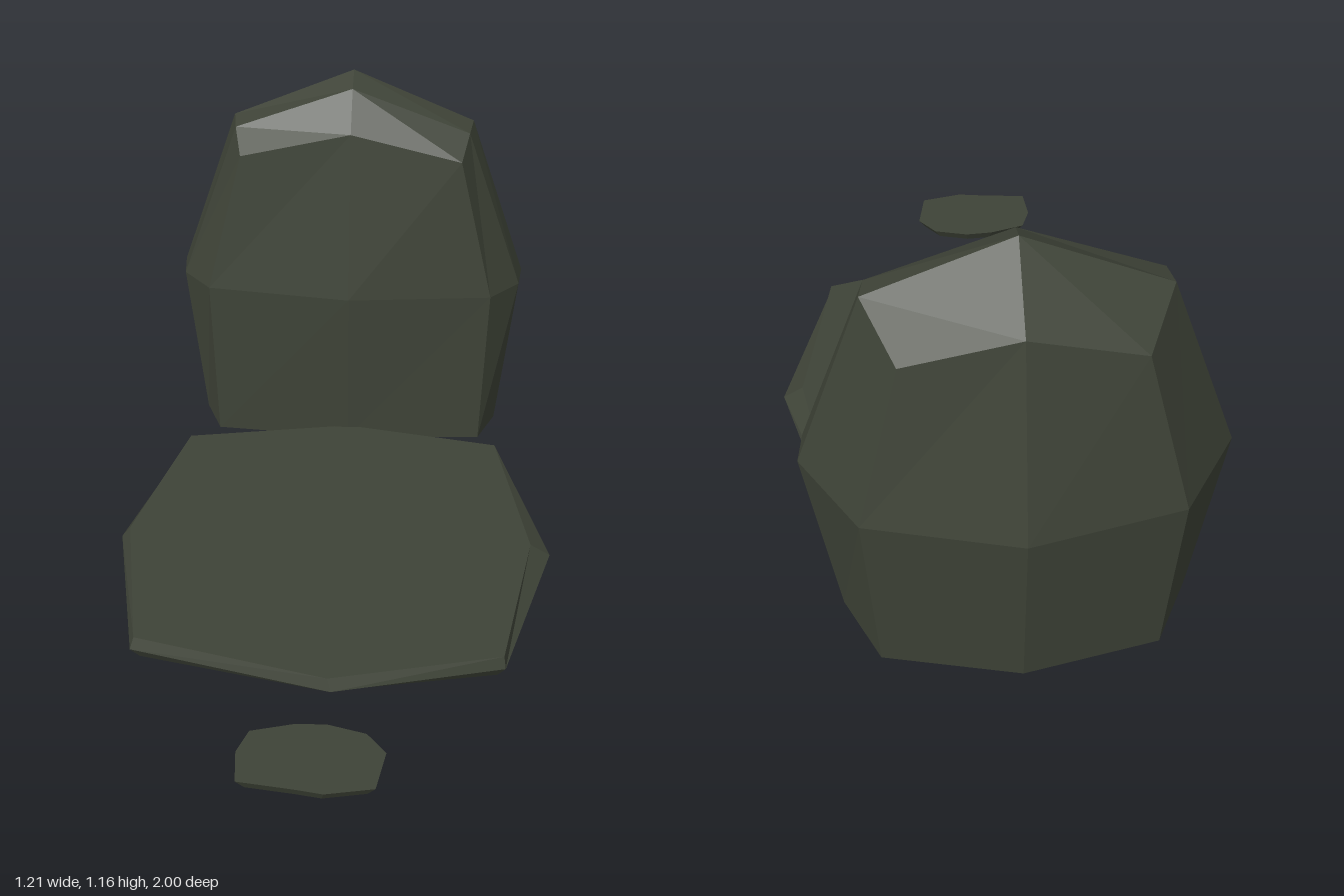
import * as THREE from 'three';

// Closed faceted solid from rings listed bottom to top (front, +x, back, -x order)
function loft(rings, bottomCentre, topCentre) {
  const pos = [];
  const tri = (a, b, c) => pos.push(...a, ...b, ...c);
  const n = rings[0].length;
  for (let j = 0; j < n; j++) {
    const k = (j + 1) % n;
    for (let i = 0; i < rings.length - 1; i++) {
      const lo = rings[i], hi = rings[i + 1];
      tri(lo[j], lo[k], hi[k]);
      if (hi[j] !== hi[k]) tri(lo[j], hi[k], hi[j]);
    }
    tri(bottomCentre, rings[0][k], rings[0][j]);
    if (topCentre) tri(topCentre, rings.at(-1)[j], rings.at(-1)[k]);
  }
  const g = new THREE.BufferGeometry();
  g.setAttribute('position', new THREE.Float32BufferAttribute(pos, 3));
  g.computeVertexNormals();
  return g;
}

// Half ring from front centre to back centre, completed on the other side
const mirrorRing = (half) =>
  [...half, ...half.slice(1, -1).reverse().map(([x, y, z]) => [-x, y, z])];

// Flat ring from [x, z] pairs; y may alternate between even and odd points
const flatRing = (pts, yEven, yOdd = yEven, s = 1, cz = 0) =>
  pts.map(([x, z], i) => [x * s, i % 2 ? yOdd : yEven, cz + (z - cz) * s]);

export function createModel() {
  const group = new THREE.Group();
  const stone = new THREE.MeshStandardMaterial({ color: 0x3e4337, flatShading: true });
  stone.name = 'dark mossy stone';
  const add = (name, geometry) => {
    const mesh = new THREE.Mesh(geometry, stone);
    mesh.name = name;
    group.add(mesh);
  };

  // Upright stone: foot, waist and shoulder rings closing onto a ridge at x = 0
  const foot = [[0, .05, -.48], [.40, .05, -.505], [.45, .06, -.61],
    [.43, .04, -.70], [.34, .04, -.88], [0, .035, -.95]];
  const waist = [[0, .535, -.48], [.415, .545, -.51], [.50, .54, -.61],
    [.51, .54, -.70], [.37, .54, -.92], [0, .53, -1.0]];
  const shoulder = [[0, 1.03, -.55], [.315, .955, -.55], [.335, 1.01, -.63],
    [.345, 1.02, -.70], [.27, .95, -.86], [0, 1.03, -.885]];
  const f = shoulder[0], b = shoulder[5], p = [0, 1.135, -.63], q = [0, 1.165, -.70];
  const ridge = [f, f, p, q, b, b, b, q, p, f];
  add('headstone', loft([mirrorRing(foot), mirrorRing(waist), mirrorRing(shoulder), ridge],
    [0, .04, -.70]));

  // Ground slab: bevelled octagon with a shallow keel underneath
  const rim = [[.03, .645], [.47, .53], [.60, .06], [.46, -.43],
    [0, -.51], [-.485, -.415], [-.605, .06], [-.50, .525]];
  const face = [[.02, .632], [.465, .52], [.545, .06], [.45, -.415],
    [0, -.49], [-.475, -.40], [-.58, .06], [-.49, .515]];
  add('groundSlab', loft([flatRing(rim, .034, .014, .96, .06), flatRing(rim, .052), flatRing(face, .085)],
    [0, 0, .06], [0, .085, .06]));

  // Small flat stone at the foot of the slab
  const pebble = [[.04, 1.0], [.16, .975], [.18, .86], [.13, .80], [.03, .775],
    [-.05, .78], [-.155, .81], [-.18, .88], [-.17, .975], [-.03, .99]];
  add('footStone', loft([flatRing(pebble, .042, .042, .88, .89), flatRing(pebble, .07)],
    [0, .04, .89], [0, .07, .89]));

  return group;
}
